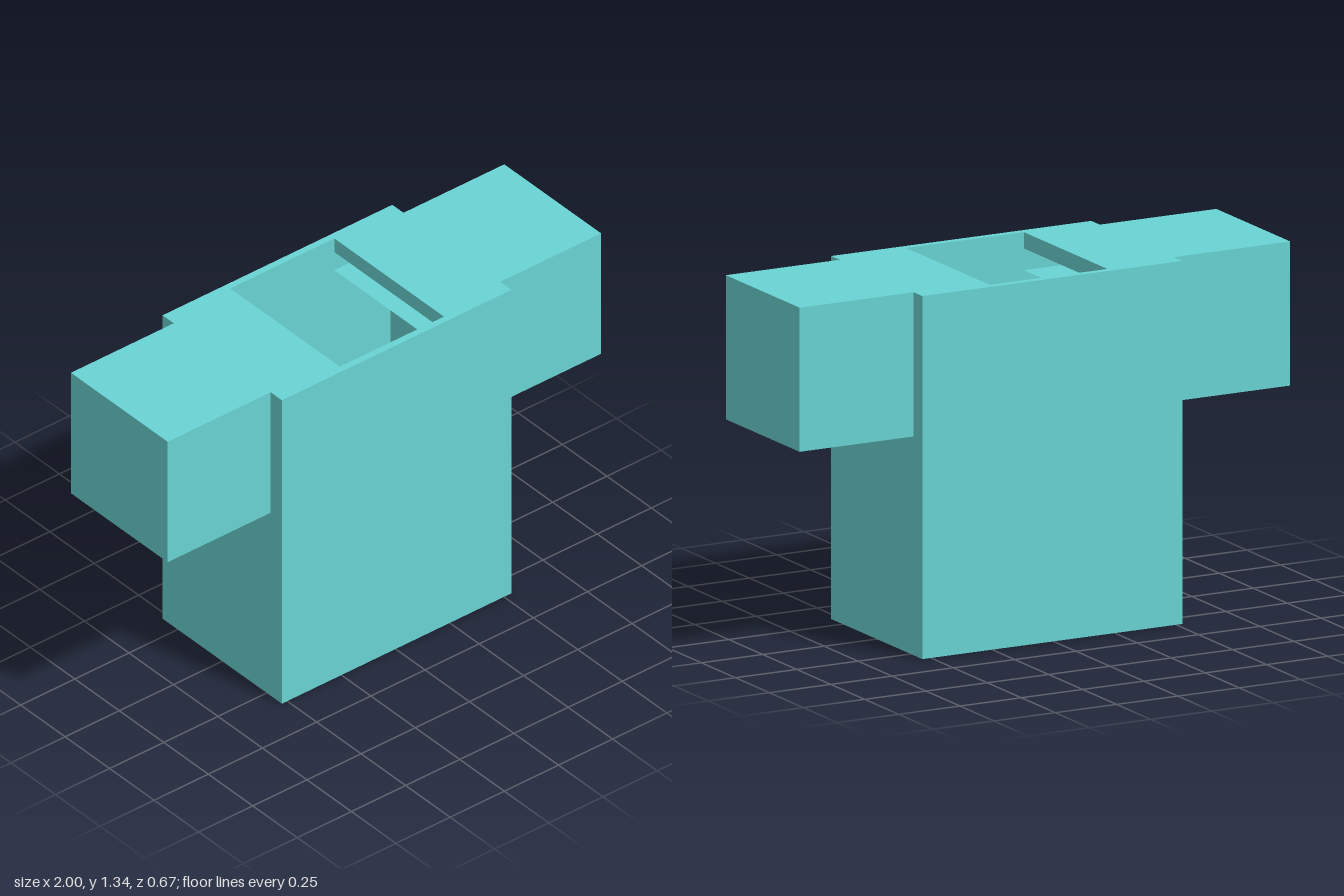
import * as THREE from 'three';

const T = 0.027;                       // cloth thickness
const TOP = 1.335;
const BODY = { x0: -0.525, x1: 0.535, z: 0.335 };
const NECK = { x0: -0.235, x1: 0.245, z: BODY.z - T };
const SLEEVE = { y: 0.805, z: 0.272 };

export function createModel() {
  const model = new THREE.Group();
  const cloth = new THREE.MeshStandardMaterial({ color: 0x6ad4d4 });
  const thin = new THREE.MeshStandardMaterial({ color: 0x6ad4d4, side: THREE.DoubleSide });

  function add(parent, name, geometry, material = cloth) {
    const mesh = new THREE.Mesh(geometry, material);
    mesh.name = name;
    parent.add(mesh);
    return mesh;
  }

  // Box given by its limits
  function box(parent, name, x0, x1, y0, y1, z0, z1) {
    const g = new THREE.BoxGeometry(x1 - x0, y1 - y0, z1 - z0);
    g.translate((x0 + x1) / 2, (y0 + y1) / 2, (z0 + z1) / 2);
    return add(parent, name, g);
  }

  const rect = (C, a0, a1, b0, b1) => new C([
    new THREE.Vector2(a0, b0), new THREE.Vector2(a1, b0),
    new THREE.Vector2(a1, b1), new THREE.Vector2(a0, b1)]);

  function framed(outer, hole) {
    const shape = rect(THREE.Shape, ...outer);
    shape.holes.push(rect(THREE.Path, ...hole));
    return shape;
  }

  // Torso: front, back and roof with the neck opening
  const torso = new THREE.Group();
  torso.name = 'torso';
  model.add(torso);
  const { x0, x1, z } = BODY;
  const neck = [NECK.x0, NECK.x1, -NECK.z, NECK.z];
  box(torso, 'frontPanel', x0, x1, 0, TOP, z - T, z);
  box(torso, 'backPanel', x0, x1, 0, TOP, -z, T - z);

  const roof = new THREE.ExtrudeGeometry(
    framed([x0, x1, T - z, z - T], neck), { depth: 0.06, bevelEnabled: false });
  roof.rotateX(-Math.PI / 2).translate(0, TOP - 0.06, 0);
  add(torso, 'shoulderPanel', roof);

  // Side panels with an armhole inside each sleeve
  for (const [name, x] of [['rightSidePanel', x0], ['leftSidePanel', x1 - T]]) {
    const side = new THREE.ExtrudeGeometry(
      framed([T - z, z - T, 0, TOP - 0.06], [-0.13, 0.13, 0.89, 1.15]),
      { depth: T, bevelEnabled: false });
    side.rotateY(Math.PI / 2).translate(x, 0, 0);
    add(torso, name, side);
  }

  // Thin lining behind the armholes, with its own neck opening
  const liningTop = 1.195, lx0 = x0 + T + 0.004, lx1 = x1 - T - 0.004;
  const collar = new THREE.ShapeGeometry(framed([lx0, lx1, T - z, z - T], neck));
  collar.rotateX(-Math.PI / 2).translate(0, liningTop, 0);
  add(torso, 'liningTop', collar, thin);
  for (const x of [lx0, lx1]) {
    const side = new THREE.PlaneGeometry(2 * (z - T), liningTop);
    side.rotateY(Math.PI / 2).translate(x, liningTop / 2, 0);
    add(torso, 'liningSide', side, thin);
  }

  // Sleeves: hollow boxes, open underneath
  for (const [name, inner, end] of [['rightSleeve', x0, -1], ['leftSleeve', x1, 1]]) {
    const sleeve = new THREE.Group();
    sleeve.name = name;
    model.add(sleeve);
    const a = Math.min(inner, end), b = Math.max(inner, end), s = SLEEVE.z;
    const cuff = end < 0 ? [a, a + T] : [b - T, b];
    box(sleeve, 'sleeveTop', a, b, TOP - T, TOP, -s, s);
    box(sleeve, 'sleeveFront', a, b, SLEEVE.y, TOP - T, s - T, s);
    box(sleeve, 'sleeveBack', a, b, SLEEVE.y, TOP - T, -s, T - s);
    box(sleeve, 'sleeveEnd', ...cuff, SLEEVE.y, TOP - T, T - s, s - T);
  }
  return model;
}
